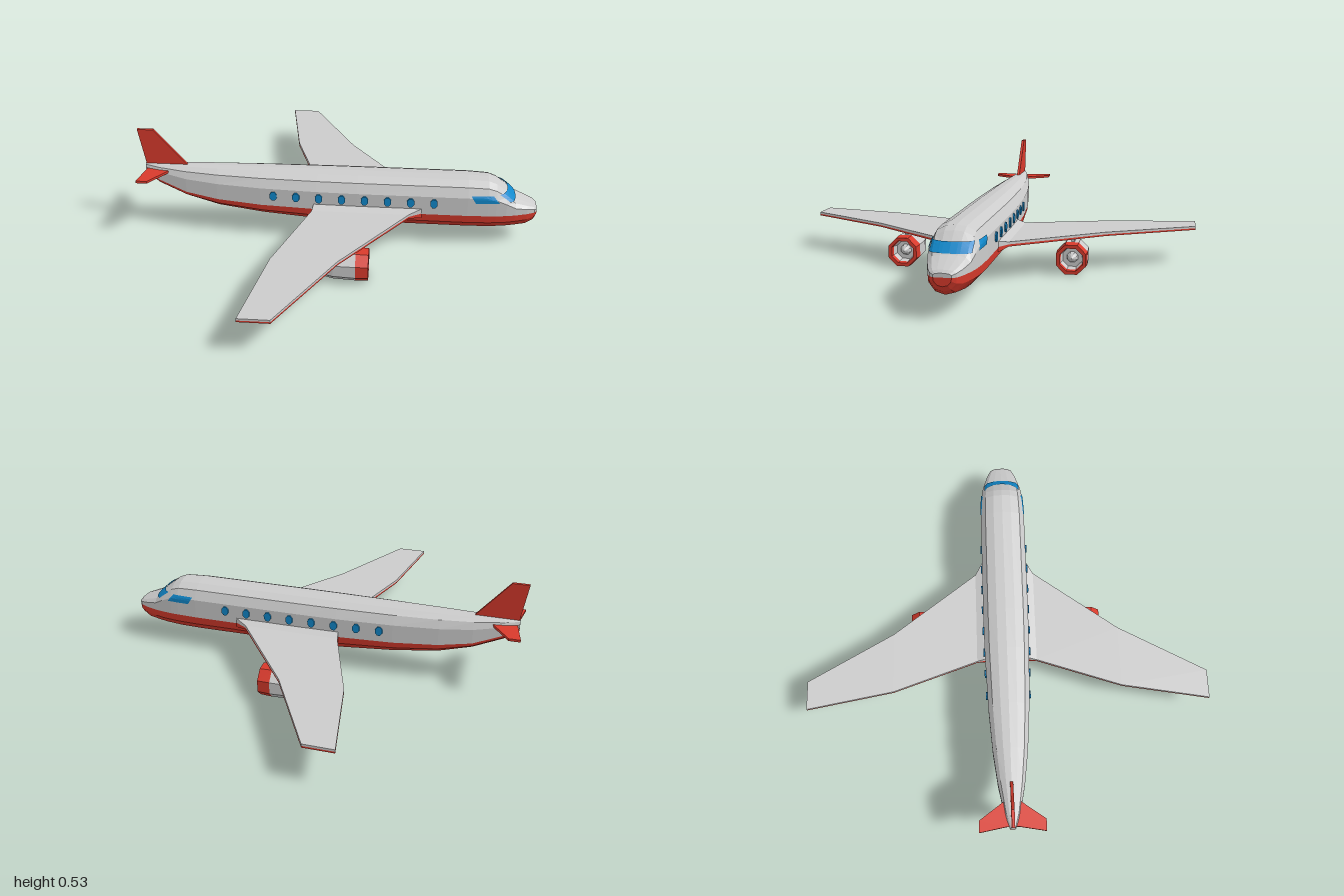
import * as THREE from 'three';

const paint = (color) => new THREE.MeshStandardMaterial({ color, flatShading: true, side: THREE.DoubleSide });
const grey = paint(0xcccccc), red = paint(0xd83a2c), blue = paint(0x1189cc);

function part(parent, name, geometry, material, x = 0, y = 0, z = 0) {
  const mesh = new THREE.Mesh(geometry, material);
  mesh.name = name;
  mesh.position.set(x, y, z);
  parent.add(mesh);
  return mesh;
}

// Skin through open arcs of points; the two end arcs can be filled
function loft(arcs, caps = true) {
  const pos = [];
  const tri = (...pts) => pts.forEach((p) => pos.push(...p));
  for (let i = 0; i < arcs.length - 1; i++) {
    for (let j = 0; j < arcs[i].length - 1; j++) {
      const a = arcs[i][j], b = arcs[i + 1][j], c = arcs[i + 1][j + 1], d = arcs[i][j + 1];
      tri(a, b, c);
      tri(a, c, d);
    }
  }
  if (caps) {
    const s = arcs[0], e = arcs[arcs.length - 1];
    for (let j = 1; j < s.length - 1; j++) {
      tri(s[0], s[j], s[j + 1]);
      tri(e[0], e[j + 1], e[j]);
    }
  }
  const g = new THREE.BufferGeometry();
  g.setAttribute('position', new THREE.Float32BufferAttribute(pos, 3));
  g.computeVertexNormals();
  return g;
}

// Flat plate from an outline, centred on its thickness
function plate(points, depth) {
  const shape = new THREE.Shape(points.map(([x, y]) => new THREE.Vector2(x, y)));
  return new THREE.ExtrudeGeometry(shape, { depth, bevelEnabled: false }).translate(0, 0, -depth / 2);
}

// Fuselage stations: x, bottom, belt line, top, half width
const STATIONS = [
  [-0.97, 0.295, 0.315, 0.355, 0.014],
  [-0.9, 0.25, 0.278, 0.355, 0.038],
  [-0.76, 0.19, 0.228, 0.355, 0.064],
  [-0.6, 0.145, 0.205, 0.355, 0.084],
  [-0.38, 0.115, 0.192, 0.355, 0.1],
  [-0.1, 0.091, 0.186, 0.355, 0.11],
  [0.1, 0.086, 0.185, 0.355, 0.113],
  [0.64, 0.084, 0.185, 0.355, 0.113],
  [0.74, 0.085, 0.185, 0.35, 0.109],
  [0.78, 0.087, 0.185, 0.334, 0.106],
  [0.83, 0.09, 0.185, 0.296, 0.1],
  [0.875, 0.095, 0.185, 0.253, 0.091],
  [0.935, 0.102, 0.185, 0.229, 0.073],
  [0.972, 0.125, 0.185, 0.214, 0.056],
  [0.985, 0.148, 0.185, 0.203, 0.038],
];
// Half sections as [share of width, share of height from the belt]
const UPPER = [[1, 0], [1, 0.58], [0.78, 0.85], [0.4, 0.97], [0, 1]];
const LOWER = [[1, 0], [0.96, 0.4], [0.58, 0.85], [0, 1]];

function upperArc([x, , belt, top, w]) {
  const half = UPPER.map(([u, v]) => [x, belt + (top - belt) * v, w * u]);
  return [...half, ...half.slice(0, -1).reverse().map(([a, b, c]) => [a, b, -c])];
}
function lowerArc([x, bottom, belt, , w]) {
  const half = LOWER.map(([u, v]) => [x, belt + (bottom - belt) * v, w * u]);
  return [...half.map(([a, b, c]) => [a, b, -c]), ...half.slice(0, -1).reverse()];
}

// Half width of the upper fuselage at a given x and height
function widthAt(x, y) {
  let i = 0;
  while (i < STATIONS.length - 2 && x > STATIONS[i + 1][0]) i++;
  const A = STATIONS[i], B = STATIONS[i + 1], t = (x - A[0]) / (B[0] - A[0]);
  const [belt, top, w] = [2, 3, 4].map((k) => A[k] + (B[k] - A[k]) * t);
  const h = (y - belt) / (top - belt);
  if (h > 1) return -1;
  let j = 0;
  while (j < UPPER.length - 2 && h > UPPER[j + 1][1]) j++;
  const [u0, v0] = UPPER[j], [u1, v1] = UPPER[j + 1];
  return w * (u0 + (u1 - u0) * (h - v0) / (v1 - v0));
}
// Foremost x of the nose at a given height and z
function noseX(y, z) {
  let lo = 0.7, hi = 0.985;
  for (let k = 0; k < 30; k++) {
    const m = (lo + hi) / 2;
    if (widthAt(m, y) >= Math.abs(z)) lo = m; else hi = m;
  }
  return lo;
}

function addGlass(group) {
  // Front windscreen wraps around the nose
  const rows = [];
  for (let i = 0; i <= 4; i++) {
    const y = 0.254 + 0.041 * i / 4, row = [];
    for (let j = 0; j <= 12; j++) {
      const z = 0.088 * (j / 6 - 1);
      row.push([noseX(y, z) + 0.004, y + 0.003, z * 1.03]);
    }
    rows.push(row);
  }
  part(group, 'windscreen', loft(rows, false), blue);
  for (const s of [1, -1]) {
    // Side cockpit window
    const side = [];
    for (let i = 0; i <= 4; i++) {
      const y = 0.257 + 0.038 * i / 4, row = [];
      for (let j = 0; j <= 6; j++) {
        const x = THREE.MathUtils.lerp(0.678 - 0.023 * i / 4, 0.795 - 0.033 * i / 4, j / 6);
        row.push([x, y, s * (widthAt(x, y) + 0.003)]);
      }
      side.push(s > 0 ? row.reverse() : row);
    }
    part(group, 'cockpitSideWindow', loft(side, false), blue);
    // Cabin windows
    for (let i = 0; i < 8; i++) {
      const x = -0.315 + i * 0.113;
      const g = new THREE.CylinderGeometry(0.02, 0.02, 0.014, 8).rotateY(Math.PI / 8).rotateX(Math.PI / 2).scale(0.95, 1.25, 1);
      part(group, 'cabinWindow', g, blue, x, 0.248, s * widthAt(x, 0.248));
    }
  }
}

function addWing(group, s) {
  // Span stations: z, trailing x, leading x, lower y, upper y
  const spans = [
    [0.08, -0.105, 0.45, 0.163, 0.216],
    [0.115, -0.115, 0.415, 0.165, 0.214],
    [0.15, -0.12, 0.355, 0.178, 0.2],
    [0.57, -0.265, 0.04, 0.18, 0.199],
    [1.0, -0.342, -0.2, 0.18, 0.198],
  ];
  if (s < 0) spans.reverse();
  const top = spans.map(([z, t, l, , hi]) => [[t, 0.188, s * z], [t, hi, s * z], [l, hi, s * z], [l, 0.188, s * z]]);
  const under = spans.map(([z, t, l, lo]) => [[l, 0.188, s * z], [l, lo, s * z], [t, lo, s * z], [t, 0.188, s * z]]);
  part(group, 'wingTop', loft(top), grey);
  part(group, 'wingUnderside', loft(under), red);
}

// Eight-sided turned part lying along x
function turned(profile) {
  const pts = profile.map(([r, x]) => new THREE.Vector2(r, x));
  return new THREE.LatheGeometry(pts, 8, Math.PI / 8).rotateZ(-Math.PI / 2);
}

function addEngine(group, s) {
  const engine = new THREE.Group();
  engine.name = 'engine';
  engine.position.set(0, 0.085, s * 0.417);
  group.add(engine);
  part(engine, 'nacelle', turned([[0, -0.075], [0.034, -0.075], [0.044, -0.09], [0.06, -0.055], [0.075, 0.01], [0.08, 0.115]]), grey);
  part(engine, 'intakeRing', turned([[0.08, 0.115], [0.077, 0.175], [0.059, 0.175], [0.056, 0.15]]), red);
  part(engine, 'intakeLining', turned([[0.056, 0.15], [0.05, 0.11], [0, 0.11]]), grey);
  part(engine, 'spinner', turned([[0.028, 0.11], [0.022, 0.13], [0, 0.15]]), grey);
  part(engine, 'pylon', new THREE.BoxGeometry(0.16, 0.05, 0.016), grey, 0.02, 0.083, 0);
}

export function createModel() {
  const plane = new THREE.Group();
  plane.name = 'airliner';
  part(plane, 'upperFuselage', loft(STATIONS.map(upperArc)), grey);
  part(plane, 'lowerFuselage', loft(STATIONS.map(lowerArc)), red);
  addGlass(plane);
  for (const s of [1, -1]) {
    addWing(plane, s);
    addEngine(plane, s);
  }
  // Tail surfaces
  part(plane, 'tailFin', plate([[-0.755, 0.35], [-0.915, 0.54], [-0.995, 0.54], [-0.965, 0.35]], 0.014), red);
  const tail = [[-0.84, 0.03], [-0.93, 0.155], [-0.985, 0.155], [-0.962, 0.03]];
  const outline = [...tail, ...tail.map(([x, z]) => [x, -z]).reverse()];
  part(plane, 'tailplane', plate(outline, 0.012).rotateX(Math.PI / 2), red, 0, 0.326, 0);
  return plane;
}
